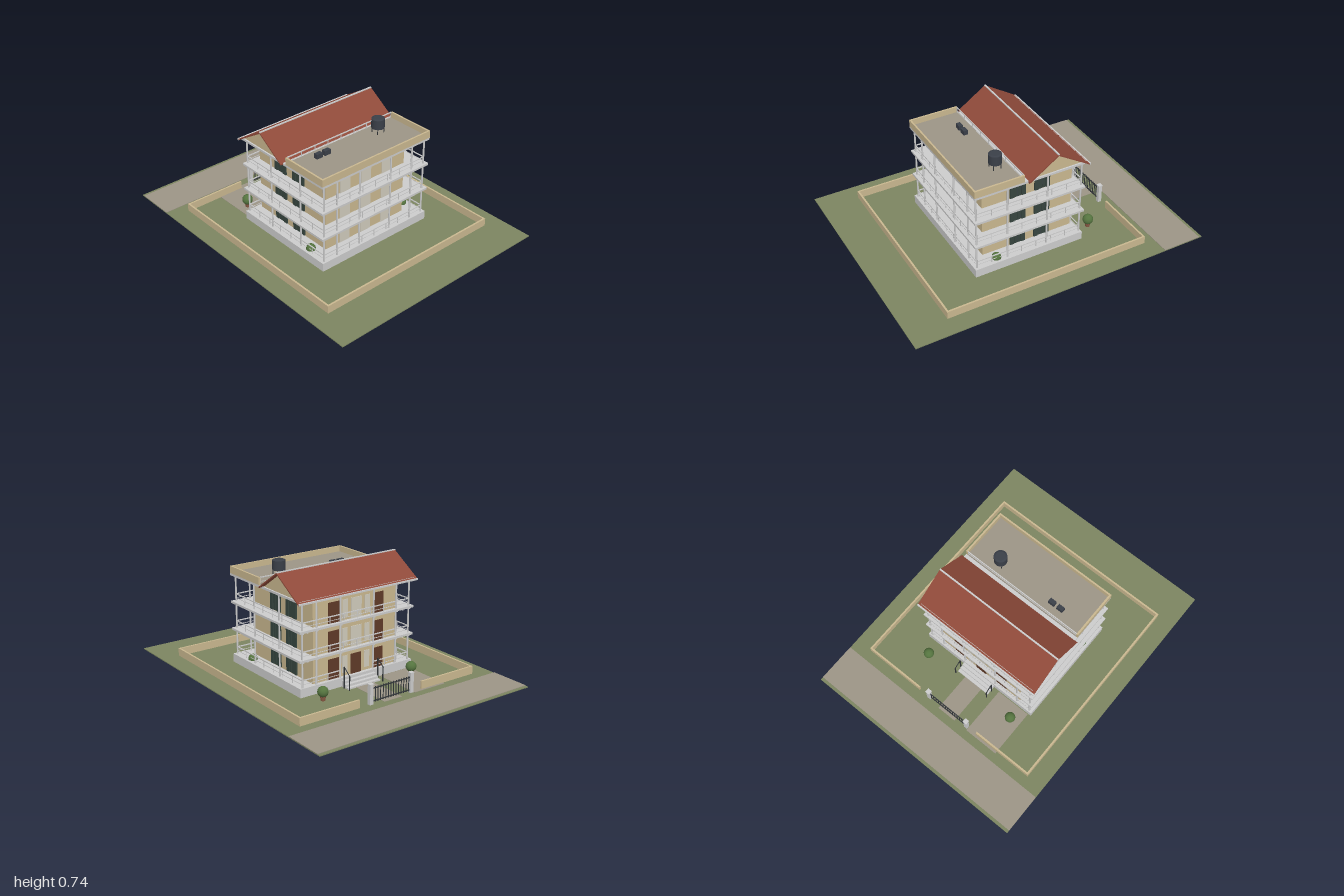
import * as THREE from 'three';

const mat = (color, side = THREE.FrontSide) => new THREE.MeshStandardMaterial({ color, side });
const M = {
  stone: mat(0xcccccc), wall: mat(0xc9b78f), grass: mat(0x7c8560), paving: mat(0x9c9486),
  tile: mat(0x8f4a3a), shutter: mat(0x36453f), wood: mat(0x5f3a28), tank: mat(0x3a3f48),
  leaf: mat(0x55743f), clay: mat(0x8a5a44), iron: mat(0x33373a), glass: mat(0xcfcabb), arch: mat(0x8f7f5f),
};

export function createModel() {
  const root = new THREE.Group();
  let parent = root;
  const group = (name) => {
    parent = new THREE.Group();
    parent.name = name;
    root.add(parent);
  };
  const add = (name, geo, m, x = 0, y = 0, z = 0) => {
    const mesh = new THREE.Mesh(geo, m);
    mesh.name = name;
    mesh.position.set(x, y, z);
    parent.add(mesh);
    return mesh;
  };
  // Box given by its limits on each axis
  const box = (name, m, x0, x1, y0, y1, z0, z1) => add(name,
    new THREE.BoxGeometry(x1 - x0, y1 - y0, z1 - z0), m, (x0 + x1) / 2, (y0 + y1) / 2, (z0 + z1) / 2);
  // Prism along x from a [z, y] outline
  const prism = (name, m, pts, half) => {
    const geo = new THREE.ExtrudeGeometry(new THREE.Shape(pts.map(p => new THREE.Vector2(...p))),
      { depth: 2 * half, bevelEnabled: false });
    return add(name, geo.translate(0, 0, -half).rotateY(-Math.PI / 2), m);
  };

  // Plot, street and paths
  group('grounds');
  box('lawn', M.grass, -0.785, 0.785, 0, 0.006, -1, 1);
  box('street', M.paving, -0.785, 0.785, 0.006, 0.009, -0.98, -0.715);
  box('driveway', M.paving, -0.41, -0.17, 0.006, 0.008, -0.66, -0.33);
  box('path', M.paving, -0.07, 0.065, 0.006, 0.008, -0.66, -0.33);

  // Garden wall with an opening at the back for the gate
  group('gardenWall');
  box('frontWall', M.wall, -0.662, 0.662, 0.006, 0.057, 0.728, 0.74);
  for (const s of [-1, 1]) {
    box('sideWall', M.wall, s * 0.656 - 0.006, s * 0.656 + 0.006, 0.006, 0.057, -0.645, 0.728);
    const a = s * 0.237, b = s * 0.65;
    box('backWall', M.wall, Math.min(a, b), Math.max(a, b), 0.006, 0.057, -0.645, -0.633);
  }

  group('gate');
  for (const s of [-1, 1]) {
    box('gatePost', M.stone, s * 0.155 - 0.012, s * 0.155 + 0.012, 0.006, 0.13, -0.651, -0.627);
    box('postCap', M.stone, s * 0.155 - 0.015, s * 0.155 + 0.015, 0.13, 0.136, -0.654, -0.624);
  }
  for (const y of [0.02, 0.1]) box('gateRail', M.iron, -0.143, 0.143, y, y + 0.006, -0.642, -0.636);
  for (let i = 0; i <= 14; i++) {
    const x = -0.138 + i * 0.0197;
    box('gateBar', M.iron, x - 0.002, x + 0.002, 0.015, 0.112, -0.641, -0.637);
  }

  // Plinth and entrance steps
  group('base');
  box('plinth', M.stone, -0.43, 0.43, 0.006, 0.062, -0.325, 0.43);
  [0.045, 0.03, 0.016].forEach((h, i) =>
    box('step', M.stone, -0.125, 0.125, 0.006, h, -0.325 - 0.022 * (i + 1), -0.325 - 0.022 * i));
  for (const x of [-0.13, 0.13]) {
    const rail = new THREE.LineCurve3(new THREE.Vector3(x, 0.145, -0.355), new THREE.Vector3(x, 0.1, -0.41));
    add('stepHandrail', new THREE.TubeGeometry(rail, 1, 0.003, 6), M.iron);
    box('handrailPost', M.iron, x - 0.003, x + 0.003, 0.006, 0.145, -0.36, -0.354);
    box('handrailPost', M.iron, x - 0.003, x + 0.003, 0.006, 0.1, -0.411, -0.405);
  }

  // House body and verandas
  const floors = [0.062, 0.24, 0.42], top = 0.603, slab = 0.014;
  const edgeX = 0.408, front = 0.412, back = -0.312;
  group('body');
  box('walls', M.wall, -0.322, 0.322, 0.062, 0.59, -0.3, 0.328);

  group('verandas');
  for (const y of [...floors.slice(1), top]) {
    box('floorSlab', M.stone, -0.435, 0.435, y - slab, y, -0.328, 0.432);
    for (const s of [-1, 1]) box('beam', M.stone, s * 0.365 - 0.006, s * 0.365 + 0.006, y - 0.026, y - slab, -0.31, 0.41);
  }

  // Straight railing with evenly spaced balusters
  const railing = (x0, z0, x1, z1, y) => {
    const len = Math.hypot(x1 - x0, z1 - z0), n = Math.max(1, Math.round(len / 0.1)), r = 0.003;
    for (const h of [0.046, 0.02]) {
      const t = h > 0.03 ? r : 0.0015;
      box('handrail', M.stone, Math.min(x0, x1) - t, Math.max(x0, x1) + t, y + h - t, y + h + t,
        Math.min(z0, z1) - t, Math.max(z0, z1) + t);
    }
    for (let i = 0; i <= n; i++) {
      const x = x0 + (x1 - x0) * i / n, z = z0 + (z1 - z0) * i / n;
      box('baluster', M.stone, x - 0.002, x + 0.002, y, y + 0.046, z - 0.002, z + 0.002);
    }
  };
  const columns = [];
  for (const x of [0.127, 0.305, edgeX]) for (const s of [-1, 1]) for (const z of [front, back]) columns.push([s * x, z]);
  for (const z of [0.2, -0.075]) for (const s of [-1, 1]) columns.push([s * edgeX, z]);
  floors.forEach((y, i) => {
    const ceiling = (floors[i + 1] ?? top) - slab;
    for (const [x, z] of columns) {
      add('column', new THREE.CylinderGeometry(0.006, 0.006, ceiling - y, 10), M.stone, x, (y + ceiling) / 2, z);
      box('capital', M.stone, x - 0.009, x + 0.009, ceiling - 0.008, ceiling, z - 0.009, z + 0.009);
    }
    railing(-edgeX, front, edgeX, front, y);
    for (const s of [-1, 1]) {
      railing(s * edgeX, back, s * edgeX, front, y);
      railing(s * (i ? 0 : 0.127), back, s * edgeX, back, y);
    }
  });

  // Doors and windows
  group('openings');
  const arch = (x, y, z, turn) => {
    add('archTrim', new THREE.TorusGeometry(0.04, 0.004, 6, 16, Math.PI), M.arch, x, y, z).rotation.y = turn;
  };
  floors.forEach((y, i) => {
    for (const x of [-0.17, 0, 0.17]) {
      box('frontDoor', M.glass, x - 0.04, x + 0.04, y, y + 0.13, 0.32, 0.332);
      const m = x || !i ? M.wood : M.glass;
      box('backDoor', m, x - 0.04, x + 0.04, y, y + 0.13, -0.304, -0.29);
      if (x) box('backWindow', M.glass, x * 0.5 - 0.02, x * 0.5 + 0.02, y + 0.02, y + 0.13, -0.303, -0.29);
      if (!i) arch(x, 0.19, 0.332, 0);
    }
    for (const s of [-1, 1]) for (const z of [-0.085, 0.085]) {
      const panel = (name, m, z0, z1, d) => {
        const a = s * 0.315, b = s * d;
        box(name, m, Math.min(a, b), Math.max(a, b), y + 0.006, y + 0.126, z0, z1);
      };
      panel('windowPane', M.tank, z - 0.026, z + 0.026, 0.325);
      for (const k of [-1, 1]) {
        panel('shutter', M.shutter, z + k * 0.039 - 0.014, z + k * 0.039 + 0.014, 0.332);
        panel('windowFrame', M.shutter, z + k * 0.012 - 0.01, z + k * 0.012 + 0.01, 0.328);
      }
      if (!i) arch(s * 0.328, 0.19, z, Math.PI / 2);
    }
  });

  // Pitched roof over the back half
  group('pitchedRoof');
  prism('gable', M.wall, [[0.06, 0.6], [-0.118, 0.722], [-0.32, 0.6]], 0.425);
  prism('roofTiles', M.tile, [[0.077, 0.602], [-0.118, 0.733], [-0.34, 0.594], [-0.34, 0.586],
    [-0.118, 0.724], [0.077, 0.593]], 0.452);
  box('ridgeCap', M.stone, -0.452, 0.452, 0.729, 0.736, -0.123, -0.113);
  box('gutter', M.stone, -0.452, 0.452, 0.586, 0.596, -0.347, -0.335);

  // Flat roof terrace over the front half
  group('terrace');
  box('terraceFloor', M.paving, -0.425, 0.425, 0.603, 0.612, 0.1, 0.425);
  box('frontParapet', M.wall, -0.435, 0.435, 0.603, 0.65, 0.421, 0.432);
  for (const s of [-1, 1]) box('sideParapet', M.wall, s * 0.429 - 0.006, s * 0.429 + 0.006, 0.603, 0.65, 0.1, 0.421);
  railing(-0.42, 0.103, 0.42, 0.103, 0.603);
  add('waterTank', new THREE.CylinderGeometry(0.042, 0.042, 0.062, 24), M.tank, 0.23, 0.679, 0.185);
  add('tankLid', new THREE.CylinderGeometry(0.03, 0.042, 0.006, 24), M.tank, 0.23, 0.712, 0.185);
  for (const a of [-1, 1]) for (const b of [-1, 1])
    add('tankLeg', new THREE.CylinderGeometry(0.003, 0.003, 0.04, 6), M.iron, 0.23 + a * 0.026, 0.63, 0.185 + b * 0.026);
  for (const x of [-0.245, -0.182]) box('coolingUnit', M.tank, x - 0.022, x + 0.022, 0.612, 0.643, 0.162, 0.19);

  // Planting
  group('planting');
  for (const s of [-1, 1]) {
    add('pot', new THREE.CylinderGeometry(0.019, 0.014, 0.034, 16), M.clay, s * 0.342, 0.023, -0.427);
    add('shrub', new THREE.SphereGeometry(0.034, 20, 14), M.leaf, s * 0.342, 0.062, -0.427);
    add('verandaBush', new THREE.SphereGeometry(0.03, 20, 14), M.leaf, s * 0.385, 0.068, 0.265);
  }
  return root;
}
